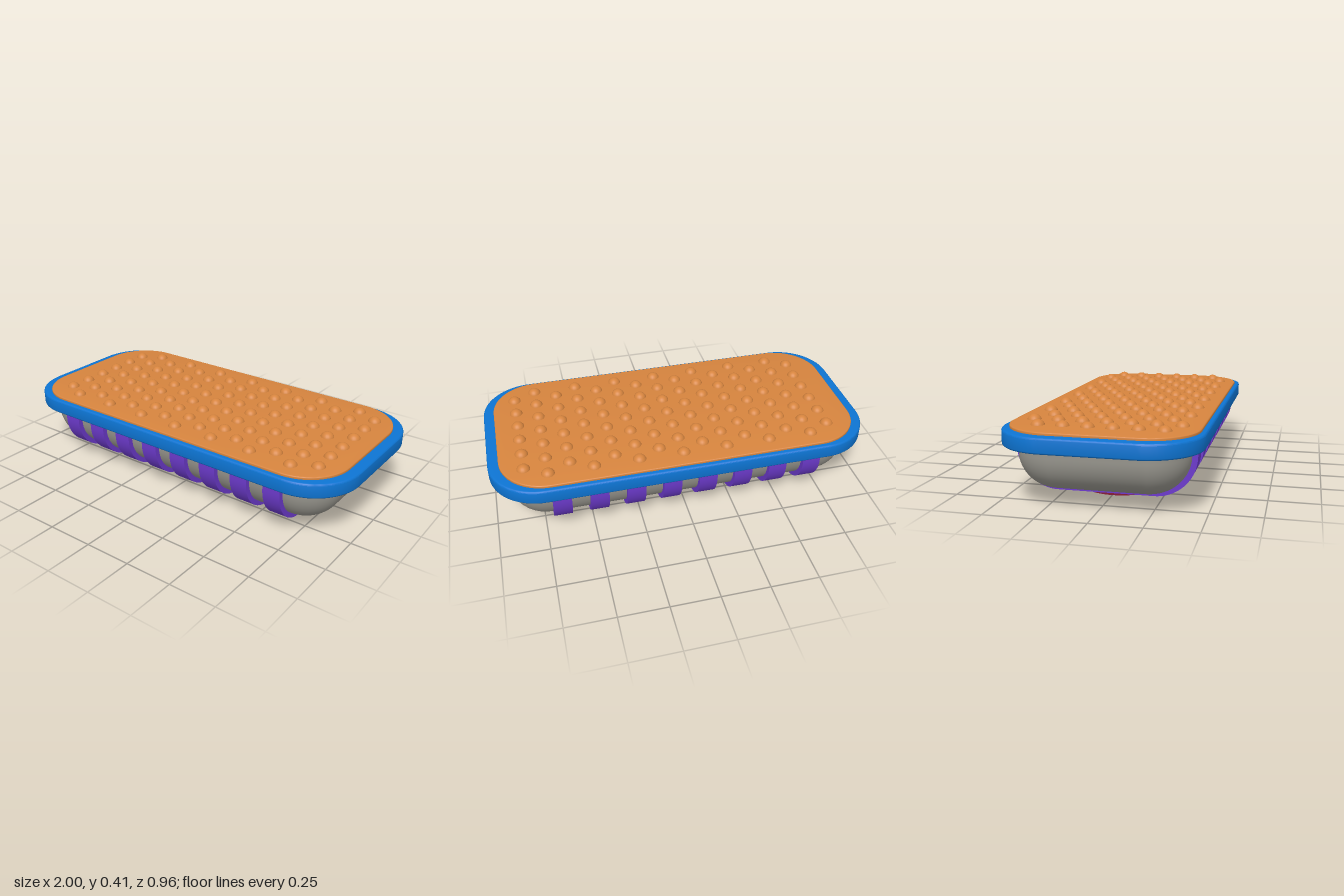
import * as THREE from 'three';
import { toCreasedNormals } from 'three/addons/utils/BufferGeometryUtils.js';

const mat = (name, color) => new THREE.MeshStandardMaterial({ name, color });

// Counter-clockwise outline of a rounded rectangle
function ring(hx, hy, r, n = 10) {
  const pts = [];
  [[1, 1], [-1, 1], [-1, -1], [1, -1]].forEach(([sx, sy], q) => {
    for (let i = 0; i <= n; i++) {
      const a = (q + i / n) * Math.PI / 2;
      pts.push(new THREE.Vector2(sx * (hx - r) + r * Math.cos(a), sy * (hy - r) + r * Math.sin(a)));
    }
  });
  return pts;
}

// Horizontal rounded slab with softened edges
function slab(hx, hz, r, y0, y1, bevel) {
  const g = new THREE.ExtrudeGeometry(new THREE.Shape(ring(hx, hz, r, 16)), {
    depth: y1 - y0 - 2 * bevel, bevelThickness: bevel, bevelSize: bevel, bevelOffset: -bevel, bevelSegments: 3,
  });
  g.rotateX(-Math.PI / 2).translate(0, y0 + bevel, 0);
  return toCreasedNormals(g, 0.6);
}

// Tub with a rounded bottom, lofted from rounded rectangles
function tub(hx, hz, corner, y0, y1, round) {
  const pos = [0, y0, 0], idx = [], steps = 12;
  let n = 0;
  for (let j = 0; j <= steps + 1; j++) {
    const a = Math.min(j / steps, 1) * Math.PI / 2;
    const inset = round * (1 - Math.sin(a));
    const y = j > steps ? y1 : y0 + round * (1 - Math.cos(a));
    const pts = ring(hx - inset, hz - inset, corner - inset);
    n = pts.length;
    pts.forEach(p => pos.push(p.x, y, p.y));
  }
  for (let i = 0; i < n; i++) {
    const k = (i + 1) % n;
    idx.push(0, 1 + i, 1 + k);
    for (let j = 0; j <= steps; j++) {
      const a = 1 + j * n + i, b = 1 + j * n + k;
      idx.push(a, a + n, b, b, a + n, b + n);
    }
  }
  const g = new THREE.BufferGeometry();
  g.setAttribute('position', new THREE.Float32BufferAttribute(pos, 3));
  g.setIndex(idx);
  g.computeVertexNormals();
  return g;
}

export function createModel() {
  const model = new THREE.Group();
  const grey = mat('bodyGrey', 0x96948c);
  const blue = mat('rimBlue', 0x0d74d2);
  const orange = mat('padOrange', 0xd6843e);
  const purple = mat('ribPurple', 0x6c3acb);
  const red = mat('footRed', 0xd0305a);
  const add = (name, geometry, material, x = 0, y = 0, z = 0, parent = model) => {
    const m = new THREE.Mesh(geometry, material);
    m.name = name;
    m.position.set(x, y, z);
    parent.add(m);
  };
  const group = name => {
    const g = new THREE.Group();
    g.name = name;
    model.add(g);
    return g;
  };

  add('body', tub(0.915, 0.413, 0.2, 0.075, 0.32, 0.18), grey);
  add('rim', slab(1, 0.48, 0.265, 0.295, 0.37, 0.009), blue);
  add('topPad', slab(0.945, 0.455, 0.24, 0.36, 0.383, 0.005), orange);

  // Bands wrapping the underside of the body
  const ribs = group('ribs');
  const u = new THREE.Shape();
  u.moveTo(0.44, 0.31);
  u.lineTo(-0.44, 0.31);
  u.absarc(-0.235, 0.255, 0.205, Math.PI, Math.PI * 1.5);
  u.absarc(0.235, 0.255, 0.205, Math.PI * 1.5, Math.PI * 2);
  const ribGeo = toCreasedNormals(
    new THREE.ExtrudeGeometry(u, { depth: 0.095, bevelEnabled: false, curveSegments: 14 })
      .translate(0, 0, -0.0475).rotateY(Math.PI / 2), 0.5);
  for (let i = 0; i < 8; i++) add('rib', ribGeo, purple, (i - 3.5) * 0.1885, 0, 0, ribs);

  // Round feet with a chamfered lower edge
  const footProfile = [[0, 0], [0.213, 0], [0.228, 0.015], [0.228, 0.078], [0, 0.078]]
    .map(([x, y]) => new THREE.Vector2(x, y));
  const footGeo = toCreasedNormals(new THREE.LatheGeometry(footProfile, 48), 0.5);
  for (const s of [-1, 1]) add('foot', footGeo, red, s * 0.374, 0, 0);

  // Staggered grip bumps: long rows of eight between short rows of seven
  const bumps = group('bumps');
  const bumpGeo = new THREE.SphereGeometry(0.036, 20, 8, 0, Math.PI * 2, 0, Math.PI / 2);
  for (let row = 0; row < 13; row++) {
    const count = row % 2 ? 8 : 7;
    for (let i = 0; i < count; i++) {
      add('bump', bumpGeo, orange, 0.02 + (i - (count - 1) / 2) * 0.23, 0.372, (row - 6) * 0.06, bumps);
    }
  }
  return model;
}
